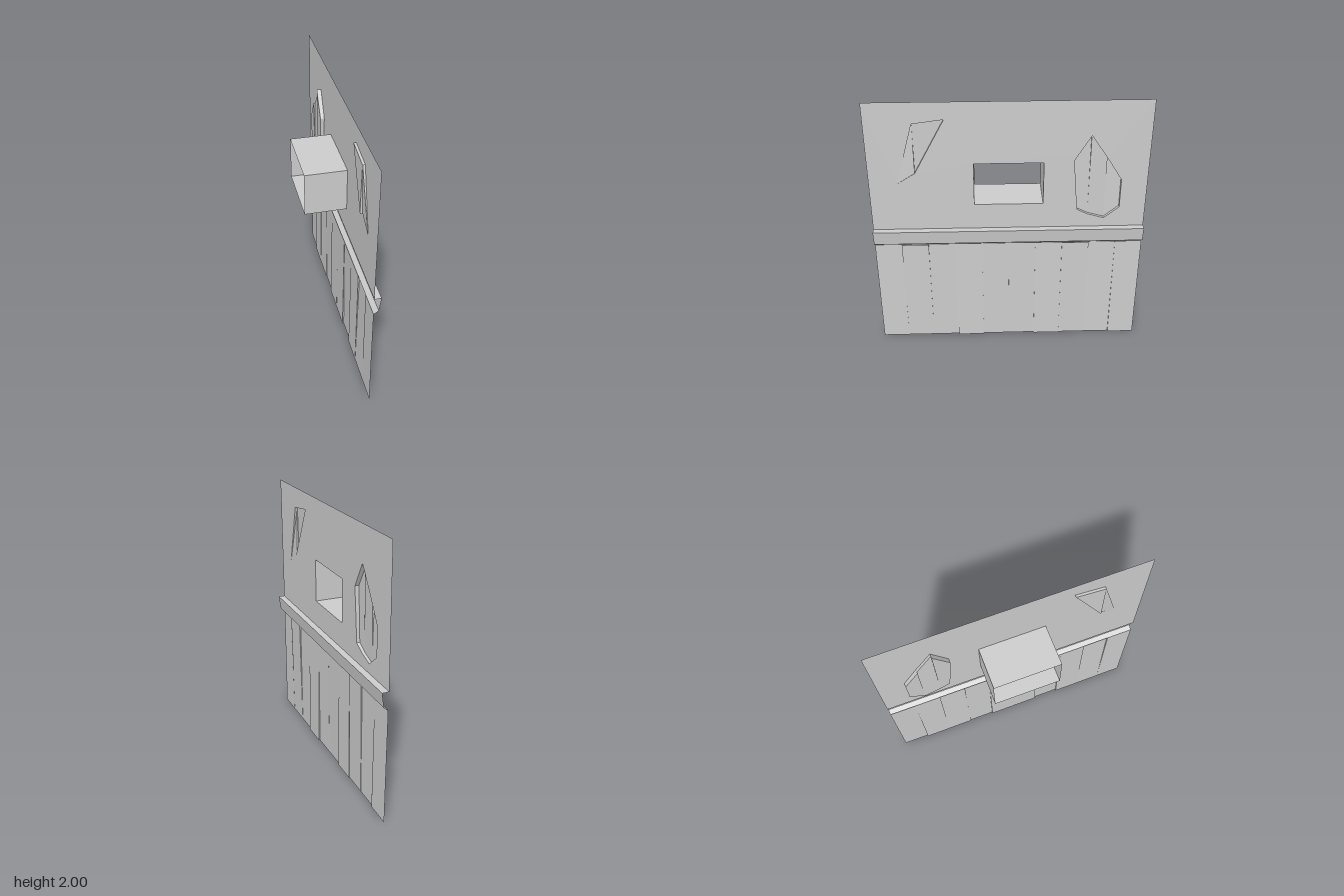
import * as THREE from 'three';

const material = new THREE.MeshStandardMaterial({
  color: 0xcccccc, flatShading: true, side: THREE.DoubleSide,
});

// Mesh from a list of four-cornered faces
function quadMesh(name, quads) {
  const positions = [];
  for (const [a, b, c, d] of quads) positions.push(...a, ...b, ...c, ...a, ...c, ...d);
  const geometry = new THREE.BufferGeometry();
  geometry.setAttribute('position', new THREE.Float32BufferAttribute(positions, 3));
  geometry.computeVertexNormals();
  const mesh = new THREE.Mesh(geometry, material);
  mesh.name = name;
  return mesh;
}

// Boards side by side. columns: [u, top, bottom]; each slat's offset runs
// from its first value at yTop to its second at yBottom.
function boards(name, columns, slats, yTop, yBottom, rim) {
  const point = (u, v, [t, b]) =>
    [u, v, THREE.MathUtils.mapLinear(v, yTop, yBottom, t, b)];
  const quads = [];
  slats.forEach((slat, i) => {
    const [u0, t0, b0] = columns[i];
    const [u1, t1, b1] = columns[i + 1];
    quads.push([point(u0, b0, slat), point(u1, b1, slat), point(u1, t1, slat), point(u0, t0, slat)]);
    // Step to the next board
    const next = slats[i + 1];
    if (next && next !== slat) {
      quads.push([point(u1, b1, slat), point(u1, b1, next), point(u1, t1, next), point(u1, t1, slat)]);
    }
    // Broken plaster edge around the recess
    if (rim) {
      quads.push([[u0, t0, 0], point(u0, t0, slat), point(u1, t1, slat), [u1, t1, 0]]);
      quads.push([[u0, b0, 0], [u1, b1, 0], point(u1, b1, slat), point(u0, b0, slat)]);
    }
  });
  if (rim) {
    for (const [column, slat] of [[columns[0], slats[0]], [columns.at(-1), slats.at(-1)]]) {
      const [u, t, b] = column;
      if (t !== b) quads.push([[u, b, 0], point(u, b, slat), point(u, t, slat), [u, t, 0]]);
    }
  }
  return quadMesh(name, quads);
}

// Outline of a recess as a hole path
function outline(columns) {
  const top = columns.map(([u, t]) => new THREE.Vector2(u, t));
  const bottom = columns.filter(([, t, b]) => t !== b).map(([u, , b]) => new THREE.Vector2(u, b));
  return new THREE.Path([...top, ...bottom.reverse()]);
}

export function createModel() {
  const model = new THREE.Group();
  model.name = 'wallPanel';
  // Panel drawn flat (u, y, outward offset), then turned to face +x
  const panel = new THREE.Group();
  panel.name = 'panel';
  panel.rotation.y = Math.PI / 2;
  panel.position.x = 0.128;
  model.add(panel);

  const smallBreak = [[-0.795, 1.38, 1.38], [-0.667, 1.84, 1.46], [-0.445, 1.87, 1.87]];
  const largeBreak = [
    [0.465, 1.545, 1.545], [0.5, 1.603, 1.145], [0.58, 1.735, 1.105],
    [0.7, 1.56, 1.07], [0.81, 1.385, 1.16],
  ];
  const opening = [[-0.25, 1.2], [0.25, 1.2], [0.25, 1.53], [-0.25, 1.53]];

  // Plaster wall with window opening and two broken patches
  const wall = new THREE.Shape([[-1, 1], [1, 1], [1, 2], [-1, 2]].map((p) => new THREE.Vector2(...p)));
  wall.holes.push(
    new THREE.Path(opening.map((p) => new THREE.Vector2(...p))),
    outline(smallBreak), outline(largeBreak),
  );
  const plaster = new THREE.Mesh(new THREE.ShapeGeometry(wall), material);
  plaster.name = 'plasterWall';
  panel.add(plaster);

  // Window reveal, open at both ends
  panel.add(quadMesh('windowReveal', opening.map((p, i) => {
    const q = opening[(i + 1) % 4];
    return [[...p, 0], [...q, 0], [...q, -0.308], [...p, -0.308]];
  })));

  // Exposed slats inside the broken patches
  panel.add(boards('smallBreak', smallBreak, [[-0.018, -0.002], [-0.018, -0.024]], 1.87, 1.38, true));
  const edgeSlat = [-0.033, -0.022];
  panel.add(boards('largeBreak', largeBreak,
    [edgeSlat, edgeSlat, [-0.018, -0.023], [-0.036, -0.022]], 1.735, 1.07, true));

  // Rail between plaster and planks
  const profile = [[1, 0], [1, 0.05], [0.89, 0.035], [0.865, 0]];
  panel.add(quadMesh('rail', profile.slice(1).map((q, i) => {
    const p = profile[i];
    return [[-1, ...q], [1, ...q], [1, ...p], [-1, ...p]];
  })));

  // Ten slightly tilted planks
  const plankColumns = Array.from({ length: 11 }, (_, i) => [-1 + i * 0.2, 0.865, 0]);
  const plankTilts = [
    [0, 0.004], [0.012, 0.003], [0.002, 0.002], [0.003, 0.013], [0.002, 0.003],
    [0.003, 0.002], [0.004, 0.012], [0.012, 0.006], [0.002, 0.005], [0.004, 0.015],
  ];
  panel.add(boards('planks', plankColumns, plankTilts, 0.865, 0, false));

  return model;
}
